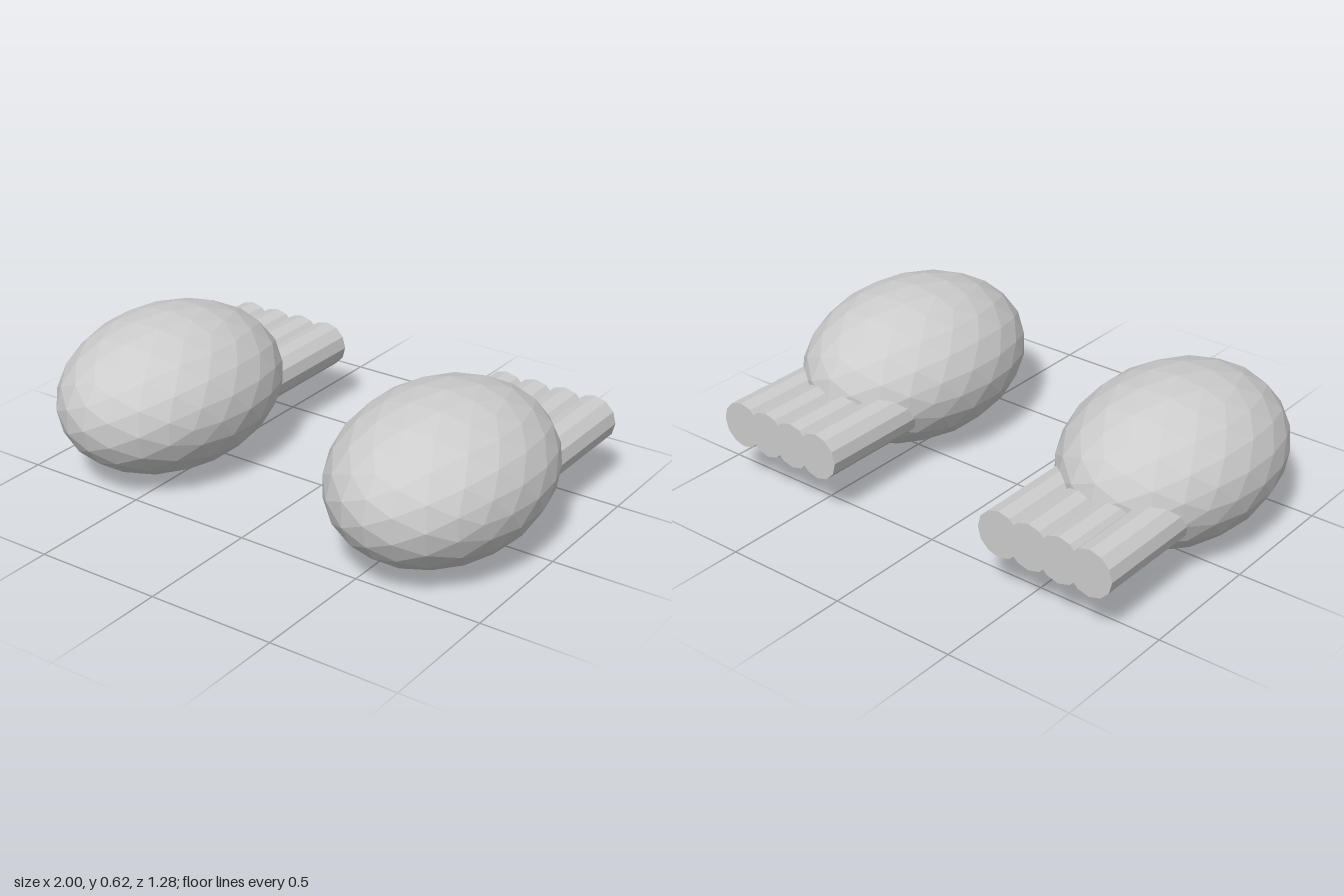
import * as THREE from 'three';

export function createModel() {
  const grey = new THREE.MeshStandardMaterial({ color: 0xcccccc, flatShading: true });
  grey.name = 'light grey';

  // Faceted egg-shaped palm
  const palmGeometry = new THREE.IcosahedronGeometry(1, 3).scale(0.383, 0.308, 0.51);

  // Straight finger running backwards along z
  const fingerStart = -0.08, fingerEnd = -0.64;
  const fingerGeometry = new THREE.CylinderGeometry(0.092, 0.092, fingerStart - fingerEnd, 12)
    .rotateX(Math.PI / 2);

  function makeHand(name, x) {
    const hand = new THREE.Group();
    hand.name = name;
    hand.position.x = x;

    const palm = new THREE.Mesh(palmGeometry, grey);
    palm.name = 'palm';
    palm.position.set(0, 0.308, 0.13);
    hand.add(palm);

    // Four overlapping fingers side by side
    for (let i = 0; i < 4; i++) {
      const finger = new THREE.Mesh(fingerGeometry, grey);
      finger.name = `finger${i + 1}`;
      finger.position.set((i - 1.5) * 0.127, 0.259, (fingerStart + fingerEnd) / 2);
      hand.add(finger);
    }
    return hand;
  }

  const model = new THREE.Group();
  model.name = 'pairOfHands';
  model.add(makeHand('leftHand', 0.617), makeHand('rightHand', -0.617));
  return model;
}
